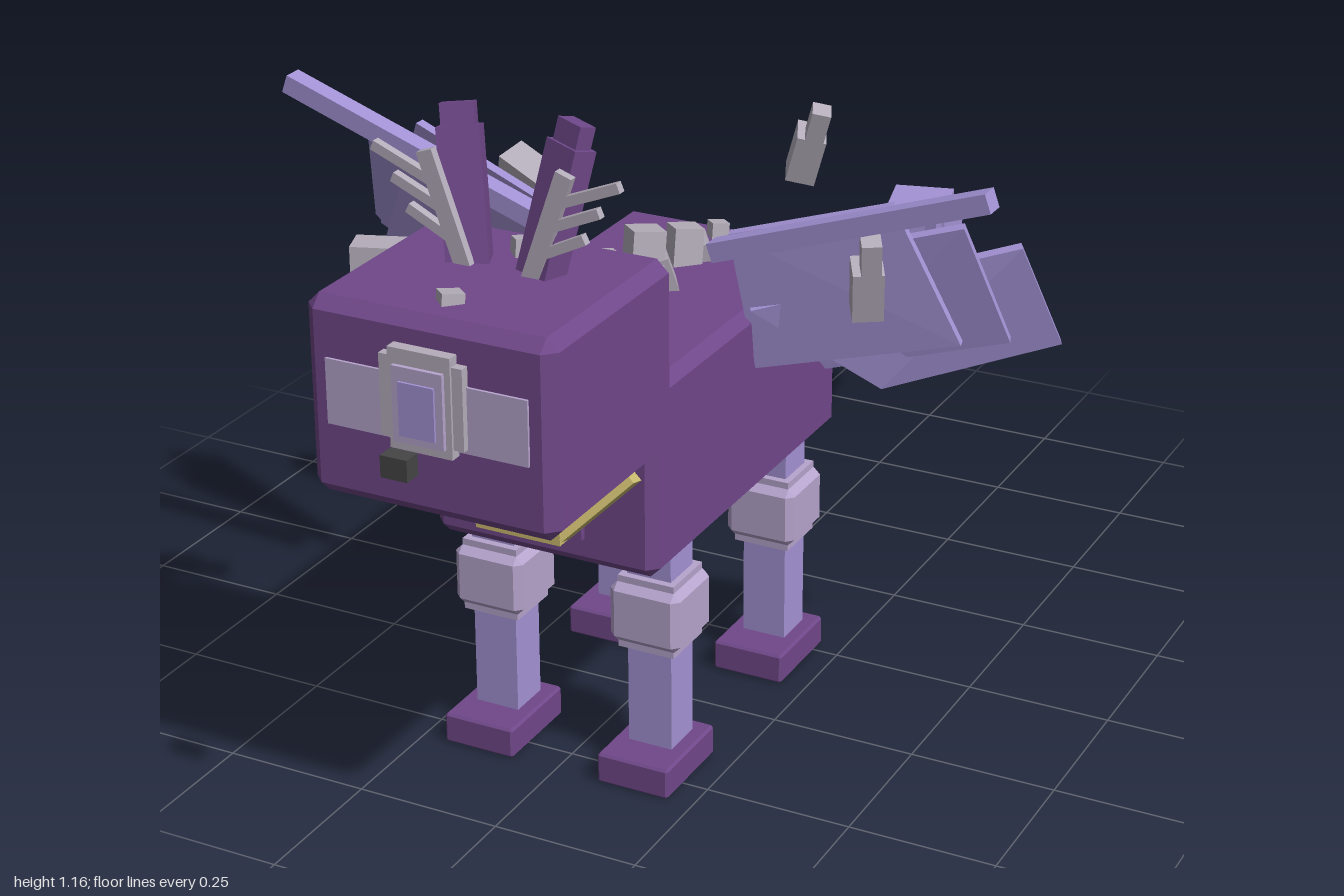
import * as THREE from 'three';
import { ConvexGeometry } from 'three/addons/geometries/ConvexGeometry.js';

const mat = (name, color) => {
  const m = new THREE.MeshStandardMaterial({ color });
  m.name = name;
  return m;
};

export function createModel() {
  const root = new THREE.Group();
  root.name = 'wingedBeast';
  const purple = mat('purple hide', 0x70488a);
  const lilac = mat('lilac', 0xa493d6);
  const mauve = mat('mauve', 0xb7a5ce);
  const grey = mat('stone grey', 0xb5aebb);
  const gold = mat('gold', 0xcdbd70);
  const dark = mat('dark nose', 0x454545);

  const add = (name, geo, m, pos = [0, 0, 0], rot = [0, 0, 0], parent = root) => {
    const mesh = new THREE.Mesh(geo, m);
    mesh.name = name;
    mesh.position.set(...pos);
    mesh.rotation.set(...rot);
    parent.add(mesh);
    return mesh;
  };
  const box = (w, h, d) => new THREE.BoxGeometry(w, h, d);

  // Box with all edges cut at 45 degrees
  const chamferBox = (w, h, d, c) => {
    const pts = [];
    const s = [-1, 1];
    for (const x of s) for (const y of s) for (const z of s) {
      pts.push(
        new THREE.Vector3(x * w / 2, y * (h / 2 - c), z * (d / 2 - c)),
        new THREE.Vector3(x * (w / 2 - c), y * h / 2, z * (d / 2 - c)),
        new THREE.Vector3(x * (w / 2 - c), y * (h / 2 - c), z * d / 2));
    }
    return new ConvexGeometry(pts);
  };

  // Square bar running between two points
  const bar = (name, a, b, w, d, m, parent = root) => {
    const va = new THREE.Vector3(...a), vb = new THREE.Vector3(...b);
    const dir = vb.clone().sub(va);
    const mesh = add(name, box(w, dir.length(), d), m, [0, 0, 0], [0, 0, 0], parent);
    mesh.position.copy(va).add(vb).multiplyScalar(0.5);
    mesh.quaternion.setFromUnitVectors(new THREE.Vector3(0, 1, 0), dir.normalize());
    return mesh;
  };

  // Thin slab from four corners
  const slab = (corners, t) => {
    const v = corners.map(c => new THREE.Vector3(...c));
    const n = v[1].clone().sub(v[0]).cross(v[2].clone().sub(v[0])).normalize().multiplyScalar(t / 2);
    return new ConvexGeometry(v.flatMap(p => [p.clone().add(n), p.clone().sub(n)]));
  };

  // Body, neck and head
  add('body', chamferBox(0.4, 0.33, 0.67, 0.018), purple, [0, 0.565, 0.245]);
  add('neck', chamferBox(0.19, 0.2, 0.2, 0.02), purple, [0, 0.74, 0.51], [0.6, 0, 0]);
  add('neckRidge', chamferBox(0.15, 0.19, 0.14, 0.02), purple, [0, 0.765, 0.485], [0.6, 0, 0]);
  add('chest', box(0.15, 0.16, 0.03), purple, [0, 0.53, 0.575]);
  add('head', chamferBox(0.42, 0.32, 0.375, 0.02), purple, [0, 0.77, 0.717]);

  // Face band, layered muzzle and nose
  add('faceBand', box(0.34, 0.105, 0.006), mauve, [0, 0.785, 0.906]);
  add('muzzleFrame', box(0.14, 0.13, 0.02), grey, [0, 0.805, 0.91]);
  add('muzzleFrameTall', box(0.105, 0.16, 0.024), grey, [0, 0.805, 0.912]);
  add('muzzlePlate', box(0.085, 0.12, 0.012), mauve, [0, 0.8, 0.925]);
  add('muzzleCentre', box(0.06, 0.085, 0.006), lilac, [0, 0.795, 0.932]);
  add('nose', box(0.045, 0.035, 0.03), dark, [0, 0.733, 0.985]);

  // Collar
  bar('collarFront', [-0.075, 0.486, 0.64], [0.075, 0.486, 0.64], 0.03, 0.035, gold);

  for (const s of [-1, 1]) {
    const side = s > 0 ? 'left' : 'right';
    bar(side + 'CollarSide', [s * 0.065, 0.484, 0.64], [s * 0.168, 0.588, 0.595], 0.03, 0.035, gold);

    // Ears
    const ear = new THREE.Group();
    ear.name = side + 'Ear';
    ear.position.set(s * 0.06, 0.92, 0.675);
    ear.rotation.set(-0.26, -s * 0.35, -s * 0.18);
    root.add(ear);
    add('earBase', box(0.066, 0.21, 0.042), purple, [0, 0.105, 0], [0, 0, 0], ear);
    add('earTip', box(0.052, 0.05, 0.03), purple, [0, 0.22, 0], [0, 0, 0], ear);

    // Antlers lying in one flat plane
    const antler = [
      [0.055, 0.92, 0.118, 1.1, 0.028], [0.11, 1.055, 0.208, 1.095, 0.016],
      [0.095, 1.015, 0.175, 1.05, 0.016], [0.08, 0.97, 0.15, 1.005, 0.016]];
    for (const [x1, y1, x2, y2, w] of antler)
      bar(side + 'Antler', [s * x1, y1, 0.695], [s * x2, y2, 0.695], w, 0.014, grey);

    // Legs
    for (const [end, z] of [['Front', 0.457], ['Hind', 0.035]]) {
      const leg = new THREE.Group();
      leg.name = side + end + 'Leg';
      leg.position.set(s * 0.143, 0, z);
      root.add(leg);
      add('shin', box(0.078, 0.37, 0.075), lilac, [0, 0.23, 0], [0, 0, 0], leg);
      add('knee', chamferBox(0.125, 0.105, 0.125, 0.012), mauve, [0, 0.293, 0], [0, 0, 0], leg);
      add('kneeCuff', box(0.1, 0.128, 0.1), mauve, [0, 0.293, 0], [0, 0, 0], leg);
      add('foot', chamferBox(0.128, 0.053, 0.167, 0.004), purple, [0, 0.027, 0.018], [0, 0, 0], leg);
    }

    // Wing: one spar and three fanned plates
    const wing = new THREE.Group();
    wing.name = side + 'Wing';
    root.add(wing);
    bar('wingSpar', [s * 0.16, 0.85, 0.3], [s * 0.625, 1.012, 0.3], 0.032, 0.035, lilac, wing);
    const plates = [
      [[0.2, 0.63, 0.225], [0.53, 0.71, 0.165], [0.43, 0.945, 0.215], [0.17, 0.87, 0.265]],
      [[0.3, 0.63, 0.175], [0.585, 0.7, 0.095], [0.53, 0.91, 0.17], [0.19, 0.81, 0.25]],
      [[0.385, 0.6, 0.147], [0.643, 0.68, 0.02], [0.6, 0.865, 0.1], [0.2, 0.74, 0.25]]];
    for (const p of plates)
      add('wingPlate', slab(p.map(([x, y, z]) => [s * x, y, z]), 0.016), lilac, [0, 0, 0], [0, 0, 0], wing);
  }

  // Spine studs, turned on edge: z, base height, width, height
  const studs = [[0.83, 0.925, 0.035, 0.02], [0.62, 0.925, 0.03, 0.03], [0.385, 0.72, 0.055, 0.125],
    [0.235, 0.72, 0.055, 0.115], [0.09, 0.72, 0.05, 0.07], [-0.035, 0.72, 0.03, 0.035]];
  for (const [z, y, w, h] of studs) {
    add('spineStud', box(w, h, w), grey, [0, y + h / 2, z], [-0.15, Math.PI / 4, 0]);
    if (h > 0.05)
      add('spineStudBase', box(w, h * 0.6, w), grey, [0.012, y + h * 0.3, z - 0.02], [0.2, 0.6, 0.2]);
  }

  // Floating shards, each a large and a small block
  const shards = [
    [[0.4, 0.83, 0.245], [0.3, 0.5, -0.12]],
    [[0.12, 0.885, -0.14], [0.3, 0.4, -0.35]],
    [[-0.325, 0.81, 0.465], [0, 0.35, 1.57]],
    [[-0.325, 0.79, 0.005], [0.3, -0.3, 1.3]]];
  for (const [pos, rot] of shards) {
    const shard = new THREE.Group();
    shard.name = 'floatingShard';
    shard.position.set(...pos);
    shard.rotation.set(...rot);
    root.add(shard);
    add('shardLarge', box(0.05, 0.09, 0.055), grey, [0, rot[2] > 1 ? 0.025 : -0.025, 0], [0, 0, 0], shard);
    add('shardSmall', box(0.032, 0.06, 0.035), grey, [0.004, rot[2] > 1 ? -0.045 : 0.045, 0.01], [0, 0, 0], shard);
  }

  // Tail: shrinking separate blocks, z, y, width, height, depth
  const tail = [[-0.216, 0.57, 0.136, 0.13, 0.16], [-0.356, 0.566, 0.116, 0.1, 0.14],
    [-0.485, 0.533, 0.09, 0.085, 0.11], [-0.617, 0.488, 0.066, 0.065, 0.075],
    [-0.747, 0.445, 0.04, 0.04, 0.043]];
  for (const [z, y, w, h, d] of tail)
    add('tailBlock', chamferBox(w, h, d, w * 0.1), purple, [0, y, z]);

  // Tail tip: two crossed blocks
  add('tailTip', box(0.115, 0.135, 0.135), lilac, [0, 0.432, -0.918], [0, 0.26, 0]);
  add('tailTipBand', chamferBox(0.14, 0.11, 0.12, 0.01), lilac, [0, 0.432, -0.918]);

  return root;
}
